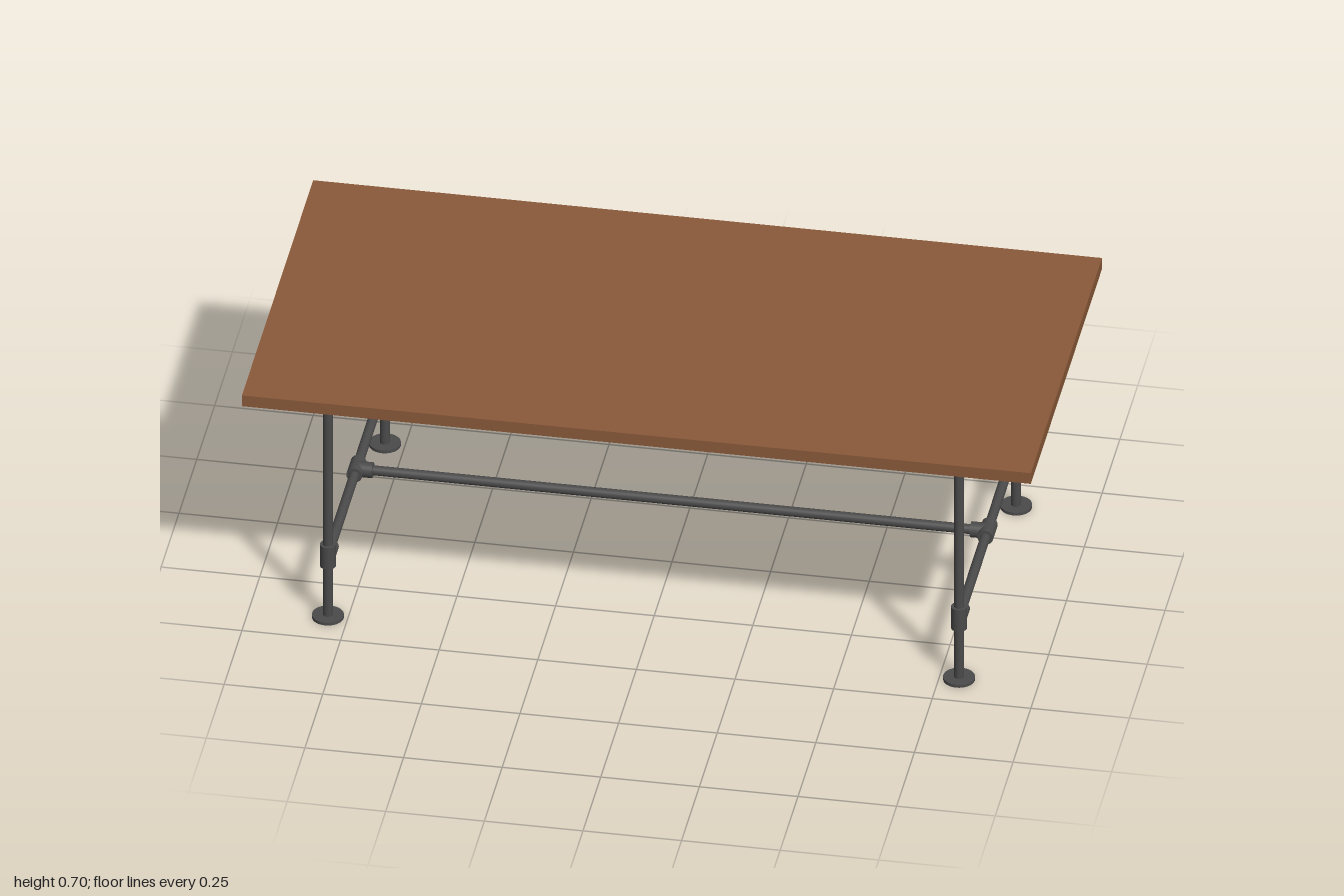
import * as THREE from 'three';

export function createModel() {
  const wood = new THREE.MeshStandardMaterial({ color: 0x8b5a3a });
  wood.name = 'brown wood';
  const iron = new THREE.MeshStandardMaterial({ color: 0x4a4a4a });
  iron.name = 'dark iron';

  const X = 0.8, Z = 0.4, RAIL_Y = 0.185, UNDERSIDE = 0.668;
  const PIPE_R = 0.0125, TEE_R = 0.02, TEE_LENGTH = 0.064, BRANCH = 0.042;

  const model = new THREE.Group();
  model.name = 'pipeTable';

  // Round bar between two points
  function bar(parent, name, radius, from, to) {
    const a = new THREE.Vector3(...from), b = new THREE.Vector3(...to);
    const dir = b.clone().sub(a);
    const mesh = new THREE.Mesh(new THREE.CylinderGeometry(radius, radius, dir.length(), 32), iron);
    mesh.position.copy(a).add(b).multiplyScalar(0.5);
    mesh.quaternion.setFromUnitVectors(new THREE.Vector3(0, 1, 0), dir.normalize());
    mesh.name = name;
    parent.add(mesh);
  }

  // T-shaped pipe fitting: a sleeve along one axis and a branch along another
  function tee(parent, name, centre, sleeveAxis, branchDir) {
    const group = new THREE.Group();
    group.name = name;
    group.position.set(...centre);
    const half = sleeveAxis.map((v) => v * TEE_LENGTH / 2);
    bar(group, 'sleeve', TEE_R, half.map((v) => -v), half);
    bar(group, 'branch', TEE_R, [0, 0, 0], branchDir.map((v) => v * BRANCH));
    parent.add(group);
  }

  // Tabletop
  const top = new THREE.Mesh(new THREE.BoxGeometry(2, 0.7 - UNDERSIDE, 1), wood);
  top.position.y = (0.7 + UNDERSIDE) / 2;
  top.name = 'tabletop';
  model.add(top);

  for (const sx of [-1, 1]) {
    const frame = new THREE.Group();
    frame.name = sx > 0 ? 'leftFrame' : 'rightFrame';
    model.add(frame);
    const x = sx * X;

    // Legs with flanges and fittings
    for (const sz of [-1, 1]) {
      const z = sz * Z, end = sz > 0 ? 'front' : 'back';
      bar(frame, end + 'Leg', PIPE_R, [x, 0.004, z], [x, UNDERSIDE, z]);
      bar(frame, end + 'FootFlange', 0.04, [x, 0, z], [x, 0.008, z]);
      bar(frame, end + 'TopFlange', 0.025, [x, UNDERSIDE - 0.007, z], [x, UNDERSIDE, z]);
      tee(frame, end + 'LegTee', [x, RAIL_Y, z], [0, 1, 0], [0, 0, -sz]);
    }

    // Cross rail and its middle fitting
    bar(frame, 'crossRail', PIPE_R, [x, RAIL_Y, -Z], [x, RAIL_Y, Z]);
    tee(frame, 'middleTee', [x, RAIL_Y, 0], [0, 0, 1], [-sx, 0, 0]);
  }

  // Long stretcher joining the two frames
  bar(model, 'stretcher', PIPE_R, [-X, RAIL_Y, 0], [X, RAIL_Y, 0]);

  return model;
}
